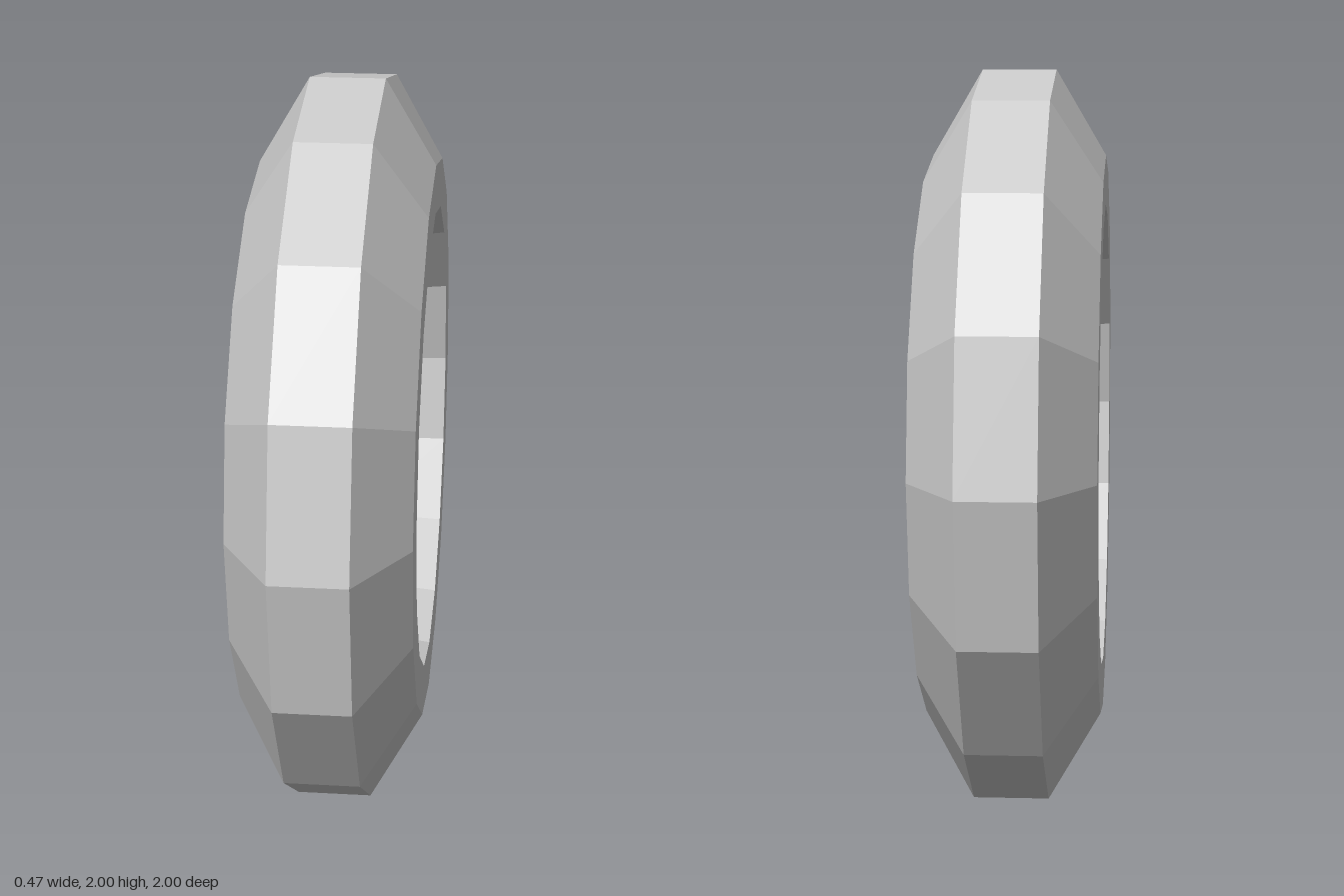
import * as THREE from 'three';

const material = new THREE.MeshStandardMaterial({ color: 0xcccccc, flatShading: true });

// Revolve a [radius, x] profile around the x axis, with a corner at the top.
function revolve(name, profile, sides) {
  const points = profile.map(([r, x]) => new THREE.Vector2(r, x));
  const geometry = new THREE.LatheGeometry(points, sides, -Math.PI / 2).rotateZ(-Math.PI / 2);
  const mesh = new THREE.Mesh(geometry, material);
  mesh.name = name;
  return mesh;
}

// Point on a circle around the axle; degrees run from the top towards +z.
function polar(radius, degrees, x) {
  const a = THREE.MathUtils.degToRad(degrees);
  return new THREE.Vector3(x, radius * Math.cos(a), radius * Math.sin(a));
}

function rod(from, to, radius) {
  const dir = to.clone().sub(from);
  const mesh = new THREE.Mesh(new THREE.CylinderGeometry(radius, radius, dir.length(), 8), material);
  mesh.position.copy(from).add(to).multiplyScalar(0.5);
  mesh.quaternion.setFromUnitVectors(new THREE.Vector3(0, 1, 0), dir.normalize());
  mesh.name = 'spoke';
  return mesh;
}

export function createModel() {
  const wheel = new THREE.Group();
  wheel.name = 'wheel';

  // Chamfered tyre tread
  wheel.add(revolve('tyre', [[0.77, -0.235], [1, -0.1], [1, 0.1], [0.77, 0.235]], 16));

  // Rim with flat side walls and a shallow inner ridge
  wheel.add(revolve('rim',
    [[0.77, 0.235], [0.637, 0.235], [0.606, 0], [0.637, -0.235], [0.77, -0.235]], 16));

  // Spool-shaped hub with an open axle hole
  wheel.add(revolve('hub', [
    [0.045, -0.114], [0.18, -0.096], [0.18, -0.088], [0.085, -0.06],
    [0.085, 0.06], [0.18, 0.088], [0.18, 0.096], [0.045, 0.114], [0.045, -0.114],
  ], 10));

  // Crossed spokes: six pairs per flange, the far flange turned by 15 degrees
  const spokes = new THREE.Group();
  spokes.name = 'spokes';
  for (const [x, turn] of [[0.085, 0], [-0.085, 15]]) {
    for (let i = 0; i < 6; i++) {
      const angle = i * 60 + turn;
      for (const lean of [-45, 45]) {
        spokes.add(rod(polar(0.17, angle, x), polar(0.606, angle + lean, x * 0.1), 0.013));
      }
    }
  }
  wheel.add(spokes);

  wheel.position.y = 1;
  const model = new THREE.Group();
  model.add(wheel);
  return model;
}
